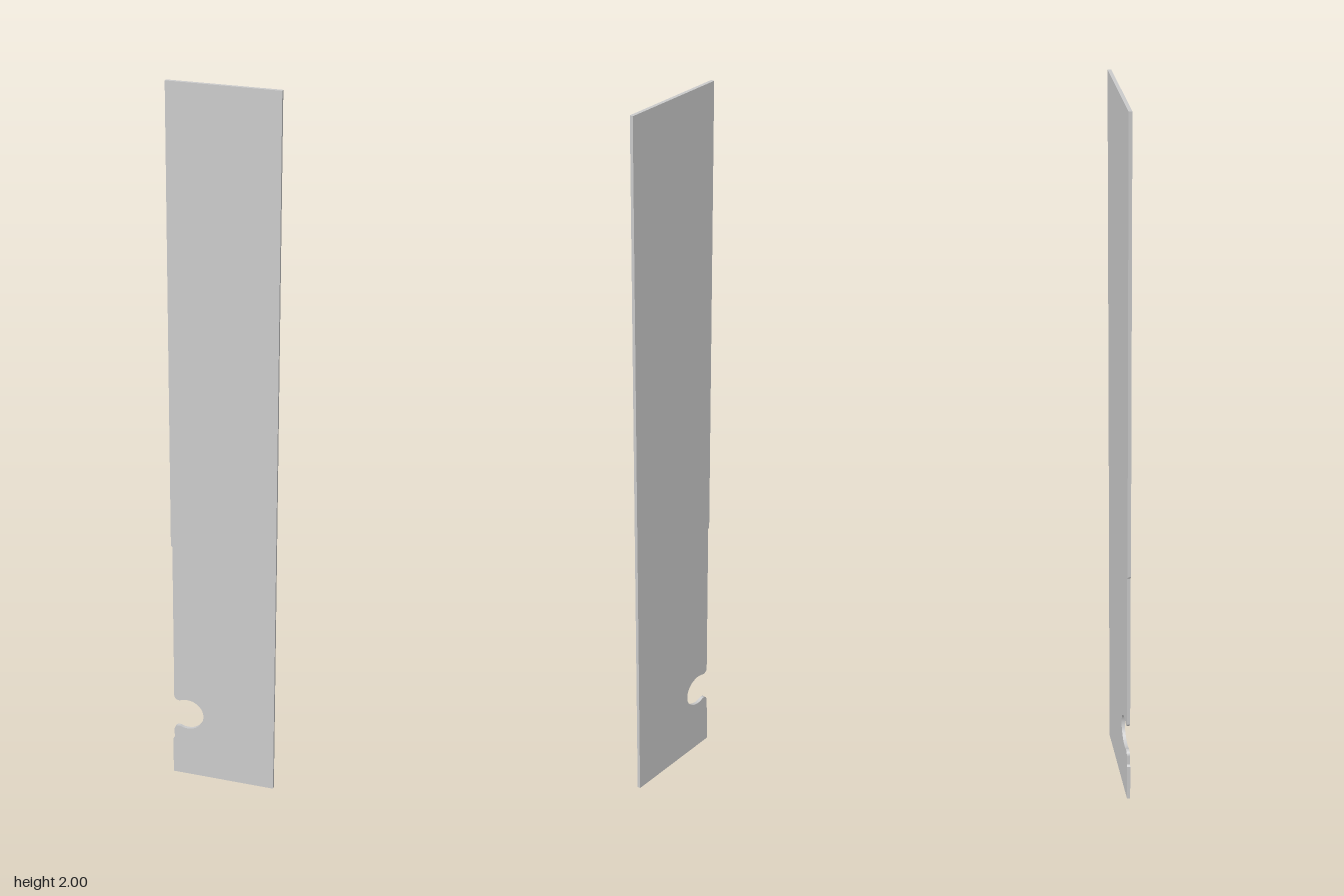
import * as THREE from 'three';

export function createModel() {
  const group = new THREE.Group();
  const halfWidth = 0.1455, height = 2, thickness = 0.009;
  const relief = -0.1415;                    // slightly recessed part of the right edge
  const cx = -0.104, cy = 0.199, r = 0.047;  // round notch
  const fillet = 0.0135;                     // rounded lips at the notch mouth

  // Lip centres lie tangent to both the recessed edge and the notch circle
  const fx = relief + fillet;
  const dx = fx - cx;
  const dy = Math.sqrt((r + fillet) ** 2 - dx ** 2);
  const a = Math.atan2(dy, dx);

  // Counter-clockwise outline of the plate
  const outline = new THREE.Shape();
  outline.moveTo(-halfWidth, 0);
  outline.lineTo(halfWidth, 0);
  outline.lineTo(halfWidth, height);
  outline.lineTo(-halfWidth, height);
  outline.lineTo(-halfWidth, 0.73);
  outline.lineTo(relief, 0.725);
  outline.lineTo(relief, cy + dy);
  outline.absarc(fx, cy + dy, fillet, Math.PI, a + Math.PI, false);
  outline.absarc(cx, cy, r, a, -a, true);
  outline.absarc(fx, cy - dy, fillet, Math.PI - a, Math.PI, false);
  outline.lineTo(relief, 0.115);
  outline.lineTo(-halfWidth, 0.11);
  outline.closePath();

  // Thin flat plate, centred on z = 0
  const geometry = new THREE.ExtrudeGeometry(outline, {
    depth: thickness, bevelEnabled: false, curveSegments: 24,
  });
  geometry.translate(0, 0, -thickness / 2);
  const plate = new THREE.Mesh(geometry, new THREE.MeshStandardMaterial({ color: 0xcccccc }));
  plate.name = 'notchedPlate';
  group.add(plate);
  return group;
}
